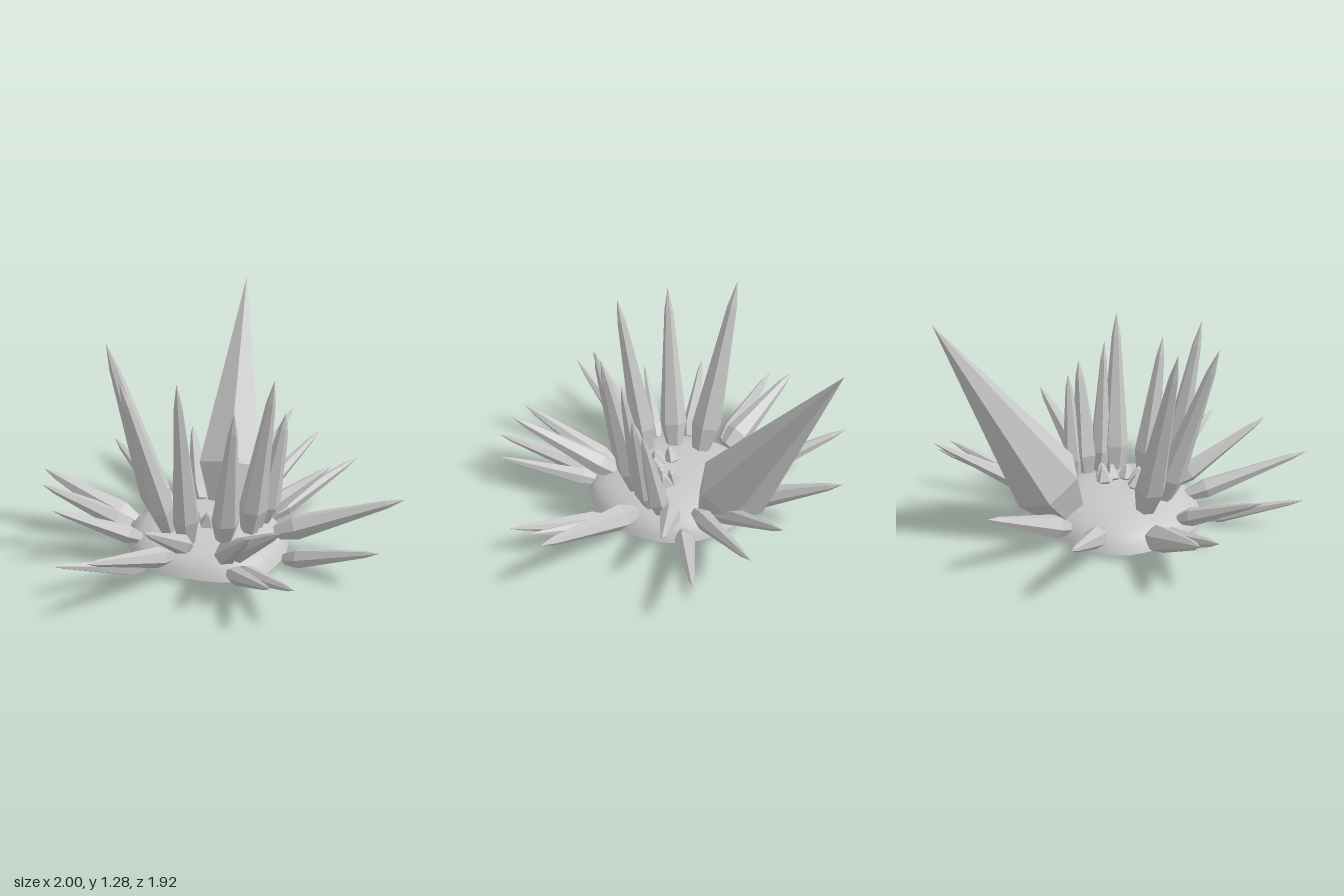
import * as THREE from 'three';

const stone = new THREE.MeshStandardMaterial({ color: 0xc8c8c8, side: THREE.DoubleSide });
stone.name = 'grey crystal';

// Faceted spike: narrow foot, widest shoulder, long taper, then a short point
function crystal(name, foot, tip, r, turn = 0, sides = 6, neck = 0.32) {
  const a = new THREE.Vector3(...foot);
  const dir = new THREE.Vector3(...tip).sub(a);
  const len = dir.length();
  const profile = [[0, 0], [0.6, 0], [1, 0.16], [neck, 0.86], [0, 1]]
    .map(([x, y]) => new THREE.Vector2(x * r, y * len));
  const geo = new THREE.LatheGeometry(profile, sides, turn).toNonIndexed();
  geo.deleteAttribute('normal');
  geo.computeVertexNormals();
  const mesh = new THREE.Mesh(geo, stone);
  mesh.name = name;
  mesh.position.copy(a);
  mesh.quaternion.setFromUnitVectors(new THREE.Vector3(0, 1, 0), dir.normalize());
  return mesh;
}

// Open shallow shell, bulging a little at the front and the back
function makeDome() {
  const rows = [[1, 0.03], [0.96, 0.065], [0.9, 0.1], [0.8, 0.13], [0.66, 0.155],
    [0.48, 0.175], [0.25, 0.187], [0, 0.18]];
  const geo = new THREE.LatheGeometry(rows.map(([x, y]) => new THREE.Vector2(x, y)), 40);
  const p = geo.attributes.position;
  const bump = (t, at) => Math.max(0, Math.cos(t - at)) ** 10;
  for (let i = 0; i < p.count; i++) {
    const x = p.getX(i), z = p.getZ(i), t = Math.atan2(z, x);
    const r = 0.437 - 0.015 * Math.cos(t) + 0.055 * bump(t, 1.83) + 0.035 * bump(t, -1.75);
    p.setX(i, x * r);
    p.setZ(i, z * r);
  }
  geo.computeVertexNormals();
  const mesh = new THREE.Mesh(geo, stone);
  mesh.name = 'domeBase';
  return mesh;
}

export function createModel() {
  const model = new THREE.Group();
  model.name = 'crystalCluster';
  model.add(makeDome());

  // Foot, tip, shoulder radius
  const upright = [
    [[-0.18, 0.15, -0.18], [-0.37, 1.13, -0.41], 0.085],
    [[-0.25, 0.15, -0.04], [-0.53, 1.04, -0.06], 0.075],
    [[-0.25, 0.15, 0.12], [-0.4, 1.08, 0.24], 0.075],
    [[-0.1, 0.16, 0.24], [-0.17, 0.92, 0.4], 0.075],
    [[0.07, 0.16, 0.24], [0.09, 1.04, 0.4], 0.075],
    [[0.15, 0.16, 0.21], [0.14, 0.9, 0.31], 0.06],
    [[0.22, 0.16, 0.18], [0.28, 0.79, 0.28], 0.075],
    [[0.28, 0.15, 0.14], [0.33, 0.72, 0.24], 0.06],
  ];
  const outer = [
    // back
    [[0.02, 0.09, -0.38], [0.03, 0.34, -0.96], 0.06],
    [[-0.25, 0.09, -0.35], [-0.55, 0.34, -0.81], 0.075],
    [[-0.29, 0.09, -0.34], [-0.63, 0.3, -0.7], 0.06],
    [[0.21, 0.09, -0.34], [0.49, 0.36, -0.79], 0.065],
    // right side
    [[-0.36, 0.1, -0.15], [-0.8, 0.33, -0.32], 0.05],
    [[-0.47, 0.03, 0.02], [-1.0, 0.2, 0], 0.045],
    [[-0.36, 0.1, 0.12], [-1.0, 0.34, 0.32], 0.055],
    [[-0.28, 0.15, 0.16], [-0.75, 0.47, 0.44], 0.055],
    // left side
    [[0.33, 0.15, -0.14], [0.92, 0.52, -0.34], 0.055],
    [[0.31, 0.13, -0.05], [0.97, 0.4, -0.17], 0.055],
    [[0.4, 0.08, 0.04], [1.0, 0.31, 0.12], 0.055],
    [[0.28, 0.14, 0.08], [0.7, 0.36, 0.21], 0.06],
    // front
    [[-0.18, 0.12, 0.32], [-0.39, 0.46, 0.78], 0.06],
    [[-0.12, 0.12, 0.32], [-0.27, 0.48, 0.86], 0.065],
    [[-0.2, 0.07, 0.42], [-0.4, 0.27, 0.94], 0.05],
    [[-0.14, 0.06, 0.42], [-0.26, 0.22, 0.96], 0.05],
    [[0.17, 0.035, 0.42], [0.33, 0.22, 0.94], 0.055],
    [[0.2, 0.035, 0.42], [0.35, 0.18, 0.84], 0.045],
    [[0.23, 0.12, 0.28], [0.65, 0.38, 0.81], 0.07],
  ];
  upright.forEach(([f, t, r], i) => model.add(crystal('uprightCrystal' + (i + 1), f, t, r, i * 0.7)));
  outer.forEach(([f, t, r], i) => model.add(crystal('outerCrystal' + (i + 1), f, t, r, i * 0.7)));
  model.add(crystal('largeCrystal', [0.26, 0.12, -0.17], [0.77, 1.28, -0.62], 0.2, 0.3, 6, 0.17));

  // Small stubs on the crown
  [[-0.09, 0], [-0.08, 0.08], [-0.02, 0.1], [0.05, 0.08], [0.08, 0.03], [0.1, 0.08]].forEach(([x, z], i) =>
    model.add(crystal('crownStub' + (i + 1), [x, 0.175, z], [x * 1.2, 0.265, z + 0.02], 0.05, i, 5)));
  return model;
}
